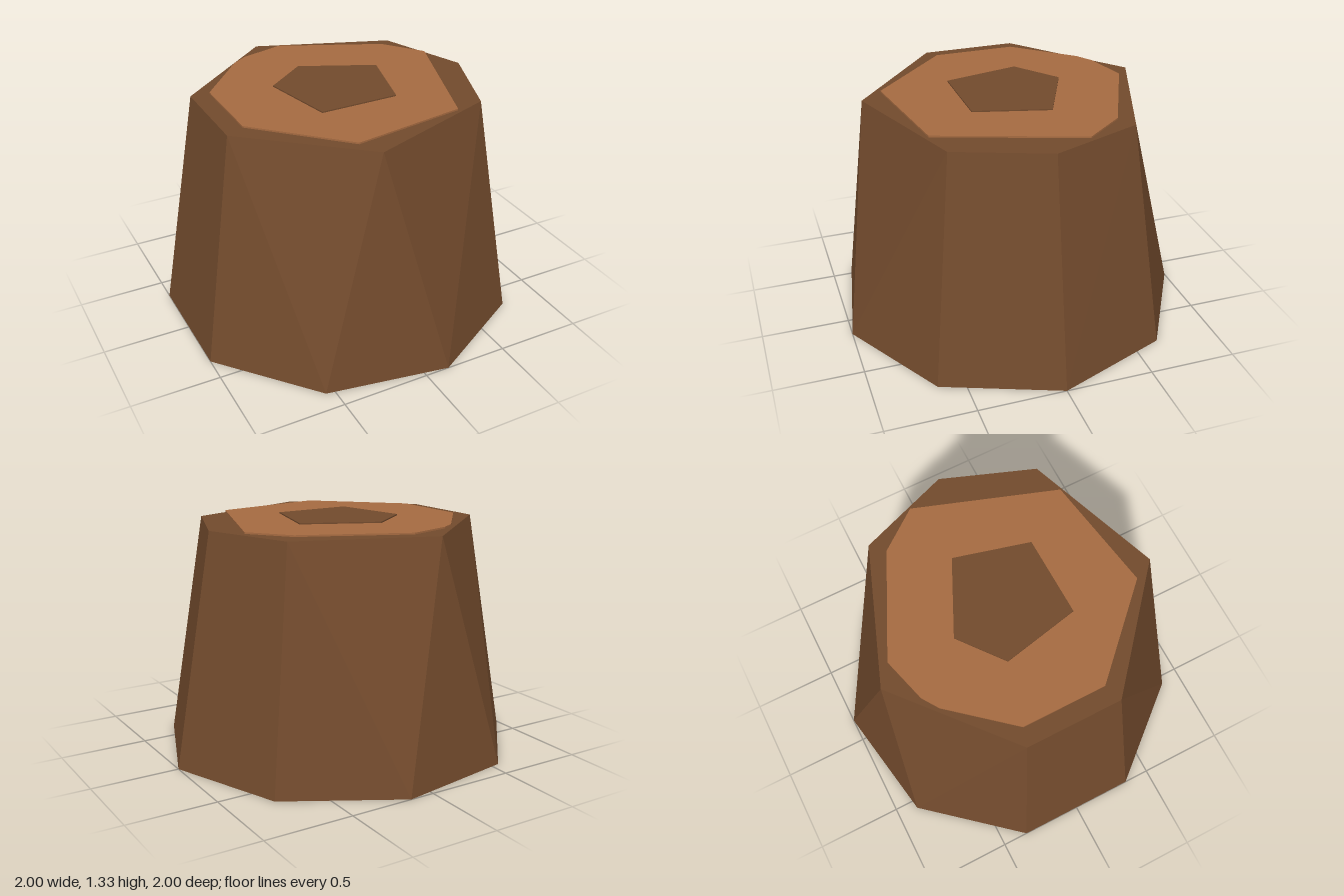
import * as THREE from 'three';

const HEIGHT = 1.31;
// Outlines as [x, z], running from +x towards +z
const bottom = [[1, 0], [0.75, 0.65], [0.14, 1], [-0.55, 0.88], [-1, 0.35],
  [-1, -0.35], [-0.55, -0.88], [0.14, -1], [0.75, -0.65]];
const top = [[0.77, 0], [0.58, 0.51], [-0.18, 0.79], [-0.79, 0.27],
  [-0.79, -0.27], [-0.18, -0.79], [0.58, -0.51]];

// Faceted trunk: a nine-sided base joined to a seven-sided top
function trunkGeometry() {
  const B = bottom.map(([x, z]) => [x, 0, z]);
  const T = top.map(([x, z]) => [x, HEIGHT, z]);
  const pos = [];
  const tri = (...corners) => corners.forEach((c) => pos.push(...c));
  let b = 0, t = 0;
  // Each step moves along the bottom (B) or top (T) outline by one triangle
  for (const step of 'BT' + 'BTBTB' + 'BT' + 'BTBTB' + 'BT') {
    const pb = B[b % 9], pt = T[t % 7];
    if (step === 'B') tri(pt, B[++b % 9], pb);
    else tri(pt, T[++t % 7], pb);
  }
  for (let i = 1; i < 6; i++) tri(T[0], T[i + 1], T[i]);
  for (let i = 1; i < 8; i++) tri(B[0], B[i], B[i + 1]);
  const g = new THREE.BufferGeometry();
  g.setAttribute('position', new THREE.Float32BufferAttribute(pos, 3));
  g.computeVertexNormals();
  return g;
}

// Thin flat plate lying on the cut face
function plateGeometry(points, y, depth) {
  const shape = new THREE.Shape(points.map(([x, z]) => new THREE.Vector2(x, -z)));
  const g = new THREE.ExtrudeGeometry(shape, { depth, bevelEnabled: false });
  return g.rotateX(-Math.PI / 2).translate(0, y, 0);
}

export function createModel() {
  const group = new THREE.Group();
  group.name = 'treeStump';
  const bark = new THREE.MeshStandardMaterial({ color: 0x734b2d, flatShading: true });
  bark.name = 'bark brown';
  const wood = new THREE.MeshStandardMaterial({ color: 0xa66b41, flatShading: true });
  wood.name = 'cut wood';

  const add = (name, geometry, material) => {
    const mesh = new THREE.Mesh(geometry, material);
    mesh.name = name;
    group.add(mesh);
  };

  add('trunk', trunkGeometry(), bark);
  // Pale cut wood inside the bark rim
  add('cutFace', plateGeometry([[0.67, -0.22], [0.4, 0.56], [-0.25, 0.67], [-0.69, 0.23],
    [-0.69, -0.24], [-0.41, -0.57], [-0.32, -0.63], [-0.07, -0.7], [0.5, -0.44]],
  HEIGHT + 0.006, 0.009), wood);
  // Dark heartwood in the middle
  add('heartwood', plateGeometry([[0.3, -0.15], [0.19, 0.27], [-0.26, 0.28],
    [-0.35, -0.15], [-0.11, -0.34]], HEIGHT + 0.014, 0.008), bark);
  return group;
}
